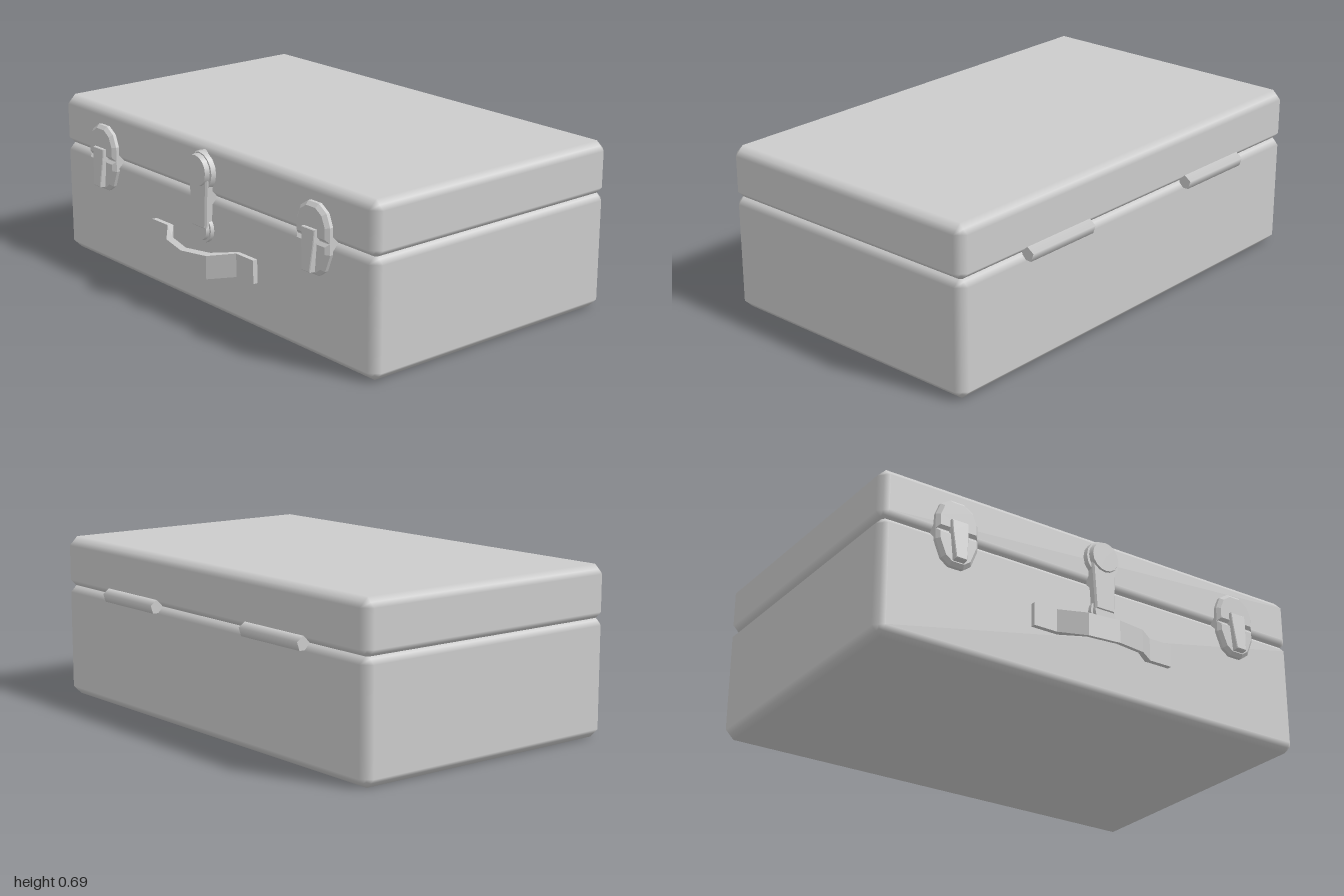
import * as THREE from 'three';

const grey = new THREE.MeshStandardMaterial({ color: 0xcccccc });

function add(parent, name, geometry, x = 0, y = 0, z = 0) {
  const mesh = new THREE.Mesh(geometry, grey);
  mesh.name = name;
  mesh.position.set(x, y, z);
  parent.add(mesh);
  return mesh;
}

// Box with 45 degree chamfers and normals blended across them
function chamferBox(w, h, d, c) {
  const geo = new THREE.BoxGeometry(w, h, d, 3, 3, 3);
  const pos = geo.attributes.position, nor = geo.attributes.normal;
  const half = [w / 2, h / 2, d / 2];
  for (let i = 0; i < pos.count; i++) {
    const p = [pos.getX(i), pos.getY(i), pos.getZ(i)];
    const outer = p.map((v, a) => Math.abs(v) > half[a] * 0.9);
    const k = outer.filter(Boolean).length;
    const q = p.map((v, a) => Math.sign(v) * (half[a] - (outer[a] ? c * (k - 1) / k : c)));
    const n = new THREE.Vector3(...p.map((v, a) => (outer[a] ? Math.sign(v) : 0))).normalize();
    pos.setXYZ(i, ...q);
    nor.setXYZ(i, n.x, n.y, n.z);
  }
  return geo;
}

// Plate lying in xy, from z = 0 to z = depth, with a bevelled rim
function plate(points, depth, bevel) {
  const shape = new THREE.Shape(points.map(([x, y]) => new THREE.Vector2(x, y)));
  const geo = new THREE.ExtrudeGeometry(shape, {
    depth: depth, bevelEnabled: true, bevelSegments: 1,
    bevelThickness: bevel, bevelSize: bevel, bevelOffset: -bevel,
  });
  return geo.translate(0, 0, -bevel);
}

// Outline symmetric in x, given its right half from bottom to top
function mirrored(half) {
  return [...half, ...half.filter(p => p[0] > 0).reverse().map(([x, y]) => [-x, y])];
}

// Bowed carrying strap, hanging lower as it comes forward
function strapGeometry() {
  const front = [[-0.33, 0.59], [-0.225, 0.59], [-0.13, 0.665], [0, 0.69], [0.13, 0.665], [0.225, 0.59], [0.33, 0.59]];
  const back = [[0.33, 0.565], [0.22, 0.565], [0.125, 0.64], [0, 0.665], [-0.125, 0.64], [-0.22, 0.565], [-0.33, 0.565]];
  const shape = new THREE.Shape([...front, ...back].map(([x, z]) => new THREE.Vector2(x, -z)));
  const geo = new THREE.ExtrudeGeometry(shape, { depth: 0.096, bevelEnabled: false });
  geo.rotateX(-Math.PI / 2);
  const pos = geo.attributes.position;
  for (let i = 0; i < pos.count; i++) {
    const drop = Math.max(0, pos.getZ(i) - 0.59) * 0.25;
    pos.setY(i, pos.getY(i) + 0.203 - drop);
  }
  geo.computeVertexNormals();
  return geo;
}

export function createModel() {
  const root = new THREE.Group();
  root.name = 'case';

  // Shells, meeting in a V groove
  const midZ = -0.045, depth = 1.23, front = 0.57;
  add(root, 'body', chamferBox(2, 0.488, depth, 0.037), 0, 0.244, midZ);
  add(root, 'lid', chamferBox(2, 0.222, depth, 0.037), 0, 0.579, midZ);

  // Side latches
  const lower = mirrored([[0.03, -0.14], [0.065, -0.115], [0.093, -0.045], [0.093, 0]]);
  const upper = mirrored([[0.093, 0], [0.093, 0.06], [0.072, 0.11], [0.03, 0.137]]);
  const tongue = mirrored([[0.024, -0.125], [0.035, -0.01], [0.037, 0.04]]);
  for (const side of [1, -1]) {
    const latch = new THREE.Group();
    latch.name = side > 0 ? 'leftLatch' : 'rightLatch';
    latch.position.set(side * 0.68, 0.482, front - 0.01);
    root.add(latch);
    add(latch, 'latchBase', plate([...lower.slice(0, 4), ...upper.slice(1, 7), ...lower.slice(5)], 0.026, 0.006));
    add(latch, 'lowerPlate', plate(lower, 0.038, 0.014));
    add(latch, 'upperPlate', plate(upper, 0.038, 0.014));
    const flap = add(latch, 'latchTongue', plate(tongue, 0.055, 0.003));
    flap.rotation.x = -0.08;
  }

  // Central hasp
  const hasp = new THREE.Group();
  hasp.name = 'hasp';
  hasp.position.z = front - 0.01;
  root.add(hasp);
  const disc = (name, r1, r2, y, d) => {
    const geo = new THREE.CylinderGeometry(r2, r1, d, 16);
    geo.rotateX(Math.PI / 2).translate(0, 0, d / 2);
    add(hasp, name, geo, 0, y, 0);
  };
  disc('haspRim', 0.08, 0.078, 0.58, 0.032);
  disc('haspKnob', 0.078, 0.062, 0.585, 0.051);
  disc('catchRim', 0.062, 0.06, 0.345, 0.026);
  disc('catchKnob', 0.058, 0.047, 0.345, 0.039);
  add(hasp, 'haspArm', plate(mirrored([[0.046, 0.35], [0.058, 0.56]]), 0.043, 0.007));

  // Carrying strap
  add(root, 'handle', strapGeometry());

  // Five-sided hinge barrels along the back seam
  for (const side of [1, -1]) {
    const barrel = new THREE.CylinderGeometry(0.03, 0.03, 0.355, 5, 1, false, Math.PI / 2);
    barrel.rotateZ(Math.PI / 2);
    add(root, side > 0 ? 'leftHinge' : 'rightHinge', barrel, side * 0.475, 0.478, -0.664);
  }
  return root;
}
